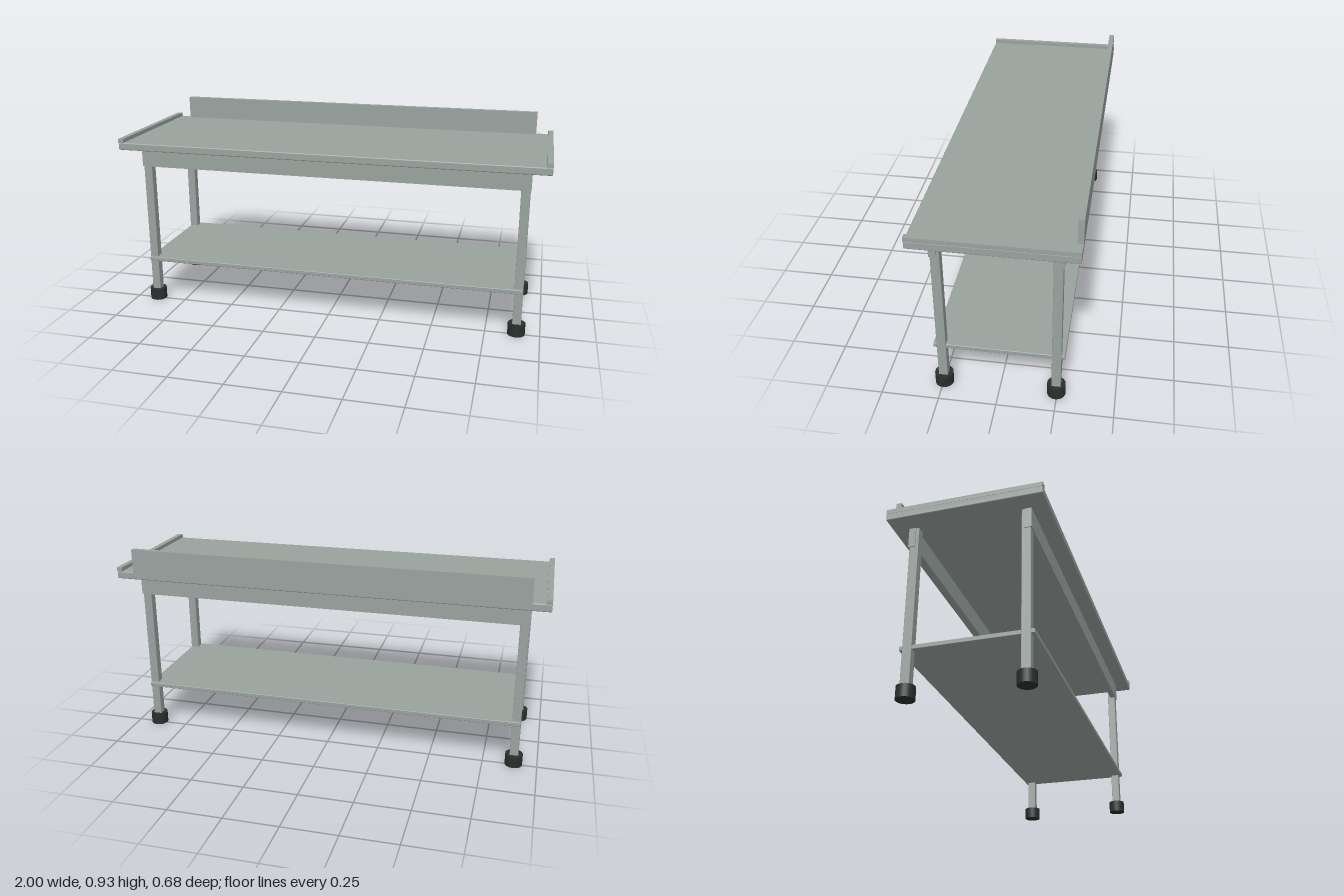
import * as THREE from 'three';
import { RoundedBoxGeometry } from 'three/addons/geometries/RoundedBoxGeometry.js';

export function createModel() {
  const group = new THREE.Group();
  group.name = 'workTable';

  const steel = new THREE.MeshStandardMaterial({ color: 0x99a29e });
  steel.name = 'brushedSteel';
  const rubber = new THREE.MeshStandardMaterial({ color: 0x28302e });
  rubber.name = 'darkRubber';

  const add = (name, geometry, material, x, y, z) => {
    const mesh = new THREE.Mesh(geometry, material);
    mesh.name = name;
    mesh.position.set(x, y, z);
    group.add(mesh);
  };
  // Box given by its extents, with an optional softened edge
  const box = (name, [x0, x1], [y0, y1], [z0, z1], r = 0) => {
    const size = [x1 - x0, y1 - y0, z1 - z0];
    const geometry = r ? new RoundedBoxGeometry(...size, 2, r) : new THREE.BoxGeometry(...size);
    add(name, geometry, steel, (x0 + x1) / 2, (y0 + y1) / 2, (z0 + z1) / 2);
  };

  // Worktop with upstand at the back, and lower shelf
  box('worktop', [-1, 1], [0.785, 0.82], [-0.34, 0.34], 0.005);
  box('backsplash', [-0.918, 0.918], [0.815, 0.929], [-0.34, -0.315]);
  box('shelf', [-0.91, 0.91], [0.21, 0.23], [-0.281, 0.281], 0.003);

  // Raised lips along both ends
  for (const s of [-1, 1]) {
    const name = s > 0 ? 'leftLip' : 'rightLip';
    box(name, s > 0 ? [0.975, 1] : [-1, -0.975], [0.818, 0.838], [-0.34, 0.34]);
  }

  // Rails under the worktop
  box('frontRail', [-0.917, 0.917], [0.693, 0.787], [0.24, 0.27]);
  box('backRail', [-0.917, 0.917], [0.693, 0.787], [-0.27, -0.24]);

  // Square legs on round feet
  const footGeometry = new THREE.CylinderGeometry(0.04, 0.04, 0.056, 24);
  for (const x of [-0.893, 0.893]) {
    for (const z of [-0.246, 0.246]) {
      const side = (z > 0 ? 'front' : 'back') + (x > 0 ? 'Left' : 'Right');
      box(side + 'Leg', [x - 0.02, x + 0.02], [0.05, 0.787], [z - 0.02, z + 0.02], 0.003);
      add(side + 'Foot', footGeometry, rubber, x, 0.028, z);
    }
  }
  return group;
}
